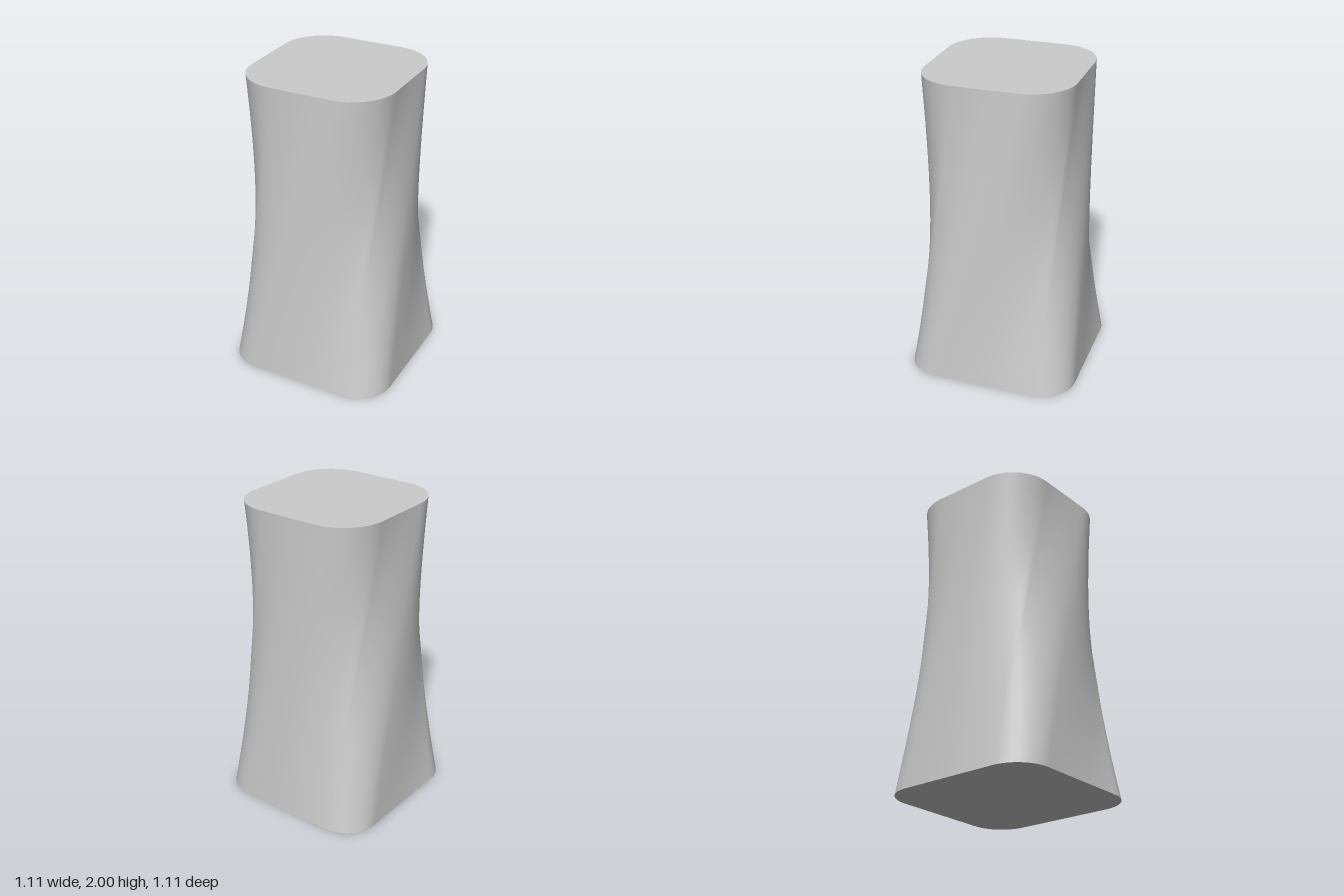
import * as THREE from 'three';

const HEIGHT = 2;
const STEPS = 16; // divisions of each straight or corner run
const ROWS = 40;
const COUNT = STEPS * 8;
const BOTTOM = { half: 0.555, radius: 0.22 };
const TOP = { half: 0.48, radius: 0.28 };

// Straight run of the front side, from left to right
function sidePoint({ half, radius }, t) {
  return new THREE.Vector2((half - radius) * (2 * t - 1), half);
}

// Rounded corner that follows the front side
function cornerPoint({ half, radius }, t) {
  const a = t * Math.PI / 2;
  const c = half - radius;
  return new THREE.Vector2(c + radius * Math.sin(a), c + radius * Math.cos(a));
}

// Turn an (x, z) point by a number of quarter turns about y
function turn(p, quarters) {
  return p.rotateAround(new THREE.Vector2(), -quarters * Math.PI / 2);
}

// Matching outlines: each bottom side meets a top corner and each bottom
// corner meets the next top side, which gives the half-step twist
function outlines() {
  const bottom = [], top = [];
  for (let q = 0; q < 4; q++) {
    for (let i = 0; i < STEPS; i++) {
      bottom.push(turn(sidePoint(BOTTOM, i / STEPS), q));
      top.push(turn(cornerPoint(TOP, i / STEPS), q));
    }
    for (let i = 0; i < STEPS; i++) {
      bottom.push(turn(cornerPoint(BOTTOM, i / STEPS), q));
      top.push(turn(sidePoint(TOP, i / STEPS), q + 1));
    }
  }
  return { bottom, top };
}

function makeGeometry(positions, index) {
  const g = new THREE.BufferGeometry();
  g.setAttribute('position', new THREE.Float32BufferAttribute(positions, 3));
  g.setIndex(index);
  g.computeVertexNormals();
  return g;
}

// Ruled wall between the two outlines
function wallGeometry(bottom, top) {
  const positions = [], index = [];
  for (let j = 0; j <= ROWS; j++) {
    const t = j / ROWS;
    for (let i = 0; i < COUNT; i++) {
      const p = bottom[i].clone().lerp(top[i], t);
      positions.push(p.x, t * HEIGHT, p.y);
      if (j === ROWS) continue;
      const a = j * COUNT + i, b = j * COUNT + (i + 1) % COUNT;
      index.push(a, b, b + COUNT, a, b + COUNT, a + COUNT);
    }
  }
  return makeGeometry(positions, index);
}

// Flat end cap as a fan round the centre
function capGeometry(outline, y, up) {
  const positions = [0, y, 0], index = [];
  outline.forEach((p, i) => {
    positions.push(p.x, y, p.y);
    const a = i + 1, b = (i + 1) % COUNT + 1;
    if (up) index.push(0, a, b);
    else index.push(0, b, a);
  });
  return makeGeometry(positions, index);
}

export function createModel() {
  const group = new THREE.Group();
  group.name = 'twistedColumn';
  const material = new THREE.MeshStandardMaterial({ color: 0xcccccc });
  const { bottom, top } = outlines();

  const add = (name, geometry) => {
    const mesh = new THREE.Mesh(geometry, material);
    mesh.name = name;
    group.add(mesh);
  };
  add('twistedWall', wallGeometry(bottom, top));
  add('topFace', capGeometry(top, HEIGHT, true));
  add('bottomFace', capGeometry(bottom, 0, false));
  return group;
}
